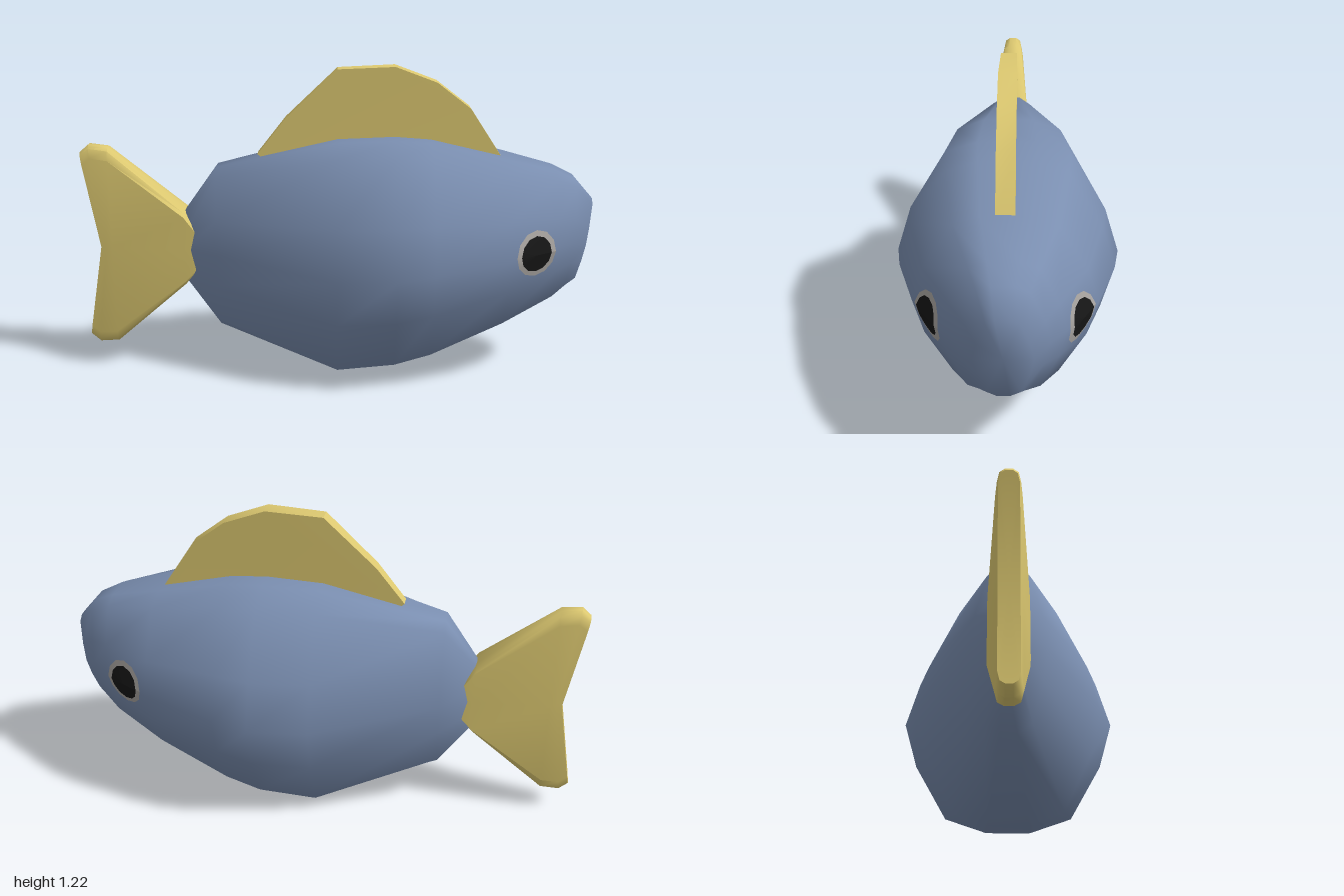
import * as THREE from 'three';
import { toCreasedNormals } from 'three/addons/utils/BufferGeometryUtils.js';

const material = (name, color) => Object.assign(new THREE.MeshStandardMaterial({ color }), { name });

function addMesh(parent, name, geometry, mat) {
  const mesh = new THREE.Mesh(geometry, mat);
  mesh.name = name;
  parent.add(mesh);
  return mesh;
}

// Closes a half profile of [z, y] points, listed top to bottom, into a mirrored ring
const mirrorProfile = (half) => [...half, ...half.map(([z, y]) => [-z, y]).reverse()];

// Skins rings along +x. Each section: [x, low y, high y, half width, slant, notch]
function loft(sections, profile, crease) {
  const n = profile.length;
  const positions = [];
  const index = [];
  for (const [x, lo, hi, w, slant = 0, notch = 0] of sections) {
    for (const [pz, py] of profile) {
      positions.push(x + slant * py + notch * (1 - Math.abs(py)), (lo + hi) / 2 + py * (hi - lo) / 2, pz * w);
    }
  }
  for (let i = 0; i < sections.length - 1; i++) {
    for (let j = 0; j < n; j++) {
      const k = (j + 1) % n;
      const a = i * n + j, b = i * n + k, c = a + n, d = b + n;
      index.push(b, d, c, b, c, a);
    }
  }
  // End caps
  for (const end of [0, sections.length - 1]) {
    const [x, lo, hi, , , notch = 0] = sections[end];
    const centre = positions.length / 3;
    positions.push(x + notch, (lo + hi) / 2, 0);
    for (let j = 0; j < n; j++) {
      const a = end * n + j, b = end * n + (j + 1) % n;
      index.push(centre, ...(end === 0 ? [b, a] : [a, b]));
    }
  }
  const geometry = new THREE.BufferGeometry();
  geometry.setAttribute('position', new THREE.Float32BufferAttribute(positions, 3));
  geometry.setIndex(index);
  return toCreasedNormals(geometry, crease);
}

// Flat fin tapering in thickness towards the back
function dorsalFinGeometry() {
  const outline = [
    [-0.31, 0.88], [-0.22, 0.8], [0.58, 0.8], [0.635, 0.87], [0.51, 1.06],
    [0.38, 1.16], [0.22, 1.22], [0, 1.21], [-0.2, 1.02],
  ].map(([x, y]) => new THREE.Vector2(x, y));
  const geometry = new THREE.ExtrudeGeometry(new THREE.Shape(outline), { depth: 2, bevelEnabled: false });
  geometry.translate(0, 0, -1);
  const p = geometry.attributes.position;
  for (let i = 0; i < p.count; i++) {
    const t = THREE.MathUtils.clamp((p.getX(i) + 0.31) / 0.5, 0, 1);
    p.setZ(i, p.getZ(i) * THREE.MathUtils.lerp(0.022, 0.034, t));
  }
  return toCreasedNormals(geometry, 0.5);
}

// Thin disc or ring pressed onto the side of the body
function eyeGeometry(body, side, inner, outer, lift) {
  const geometry = new THREE.RingGeometry(inner, outer, 12, 4);
  geometry.scale(0.92, 1.04, 1);
  if (side < 0) geometry.rotateY(Math.PI);
  geometry.translate(0.747, 0.552, 0);
  const p = geometry.attributes.position;
  const ray = new THREE.Raycaster();
  for (let i = 0; i < p.count; i++) {
    ray.set(new THREE.Vector3(p.getX(i), p.getY(i), side * 2), new THREE.Vector3(0, 0, -side));
    const hit = ray.intersectObject(body)[0];
    p.setZ(i, (hit ? hit.point.z : side * 0.26) + side * lift);
  }
  geometry.computeVertexNormals();
  return geometry;
}

export function createModel() {
  const blue = material('body blue', 0x7a8eb0);
  const yellow = material('fin yellow', 0xdcc870);
  const grey = material('eye rim grey', 0xaaa6a2);
  const black = material('pupil black', 0x171717);

  const model = new THREE.Group();
  model.name = 'fish';

  // Body, from the tail root to the slanted snout
  const bodyProfile = mirrorProfile([
    [0.26, 1], [0.55, 0.91], [0.87, 0.4], [1, 0], [0.88, -0.4], [0.59, -0.88], [0.22, -1],
  ]);
  const body = addMesh(model, 'body', loft([
    [-0.6, 0.36, 0.65, 0.06],
    [-0.47, 0.18, 0.83, 0.14],
    [0, 0.0, 0.94, 0.36],
    [0.22, 0.04, 0.95, 0.42],
    [0.36, 0.08, 0.94, 0.4],
    [0.64, 0.205, 0.875, 0.325],
    [0.84, 0.3, 0.825, 0.21],
    [0.91, 0.34, 0.785, 0.155, 0.015],
    [0.967, 0.365, 0.705, 0.1, 0.028],
  ], bodyProfile, 1.25), blue);

  // Tail fin, notched at the back
  const tailProfile = mirrorProfile([[0.35, 1], [0.8, 0.97], [1, 0.88], [1, 0], [1, -0.88], [0.8, -0.97], [0.35, -1]]);
  addMesh(model, 'tailFin', loft([
    [-1, 0.125, 0.885, 0.036, 0, 0.065],
    [-0.965, 0.095, 0.915, 0.04, 0, 0.05],
    [-0.89, 0.1, 0.905, 0.046],
    [-0.6, 0.355, 0.655, 0.074],
    [-0.558, 0.41, 0.59, 0.076],
  ], tailProfile, 0.9), yellow);

  addMesh(model, 'dorsalFin', dorsalFinGeometry(), yellow);

  // Eyes on both sides
  for (const side of [1, -1]) {
    const eye = new THREE.Group();
    eye.name = side > 0 ? 'frontSideEye' : 'backSideEye';
    addMesh(eye, 'eyeRim', eyeGeometry(body, side, 0.055, 0.087, 0.006), grey);
    addMesh(eye, 'pupil', eyeGeometry(body, side, 0, 0.067, 0.009), black);
    model.add(eye);
  }
  return model;
}
